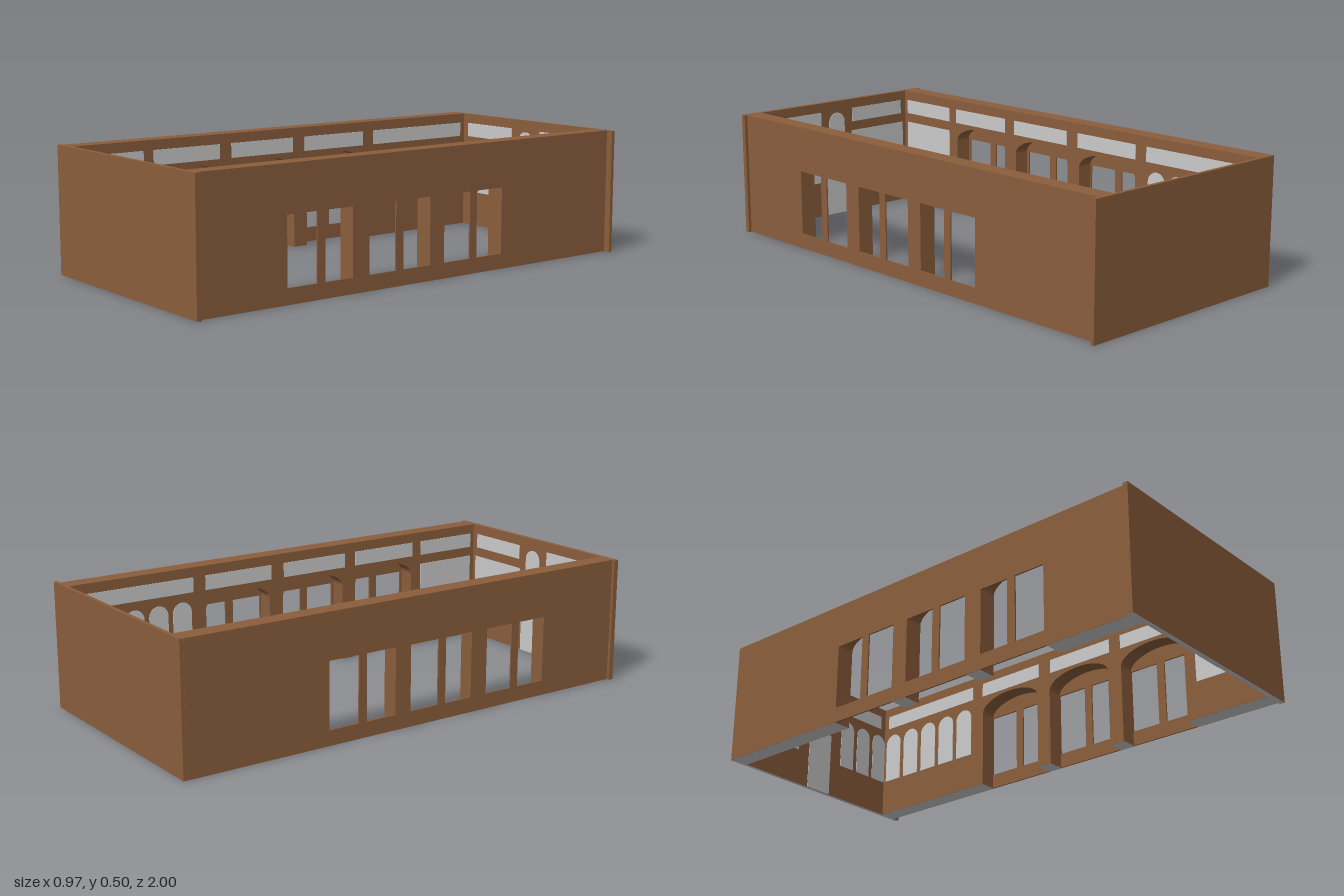
import * as THREE from 'three';

const brown = new THREE.MeshStandardMaterial({ color: 0x8b5e3c });
const grey = new THREE.MeshStandardMaterial({ color: 0xcccccc });

const H = 0.5;            // wall height
const CX = -0.007;        // centre line of the room
const X_IN = { left: -0.4, right: 0.386 };
const X_OUT = { left: -0.474, right: 0.46 };
const Z_BACK = -0.985, Z_FRONT = 0.98;
const SKIN = 0.006;       // thin window wall behind the niches
const NICHES = [[0.33, 0.63], [-0.035, 0.265], [-0.4, -0.1]];
const WINDOWS = [[0.49, 0.62], [0.33, 0.455], [0.13, 0.255], [-0.035, 0.095], [-0.235, -0.105], [-0.4, -0.27]];

function rect(u0, u1, v0, v1, Kind = THREE.Shape) {
  const s = new Kind();
  s.moveTo(u0, v0);
  s.lineTo(u1, v0);
  s.lineTo(u1, v1);
  s.lineTo(u0, v1);
  s.closePath();
  return s;
}

function roundTop(u0, u1, v0, v1) {
  const r = (u1 - u0) / 2, s = new THREE.Shape();
  s.moveTo(u0, v0);
  s.lineTo(u1, v0);
  s.lineTo(u1, v1 - r);
  s.absarc(u0 + r, v1 - r, r, 0, Math.PI, false);
  s.closePath();
  return s;
}

function extrude(shape, depth) {
  return new THREE.ExtrudeGeometry(shape, { depth, bevelEnabled: false, curveSegments: 12 });
}

function add(parent, name, geometry, material) {
  const mesh = new THREE.Mesh(geometry, material);
  mesh.name = name;
  parent.add(mesh);
  return mesh;
}

// extrudes a (z, y) outline between two x positions
function alongX(parent, name, shape, x0, x1, material) {
  const mesh = add(parent, name, extrude(shape, x1 - x0), material);
  mesh.rotation.y = -Math.PI / 2;
  mesh.position.x = x1;
}

// extrudes an (x, y) outline between two z positions
function alongZ(parent, name, shape, z0, z1, material) {
  add(parent, name, extrude(shape, z1 - z0), material).position.z = z0;
}

// thin grey underside
function base(parent, x0, x1, z0, z1) {
  const mesh = add(parent, 'wallBase', new THREE.PlaneGeometry(x1 - x0, z1 - z0), grey);
  mesh.rotation.x = Math.PI / 2;
  mesh.position.set((x0 + x1) / 2, -0.0005, (z0 + z1) / 2);
}

// inner layer of a long wall: arched niches cut up from the floor
function nicheShape() {
  const s = new THREE.Shape();
  s.moveTo(Z_BACK, 0);
  for (const [a, b] of [...NICHES].reverse()) {
    s.lineTo(a, 0);
    s.lineTo(a, 0.322);
    s.absellipse((a + b) / 2, 0.322, (b - a) / 2, 0.065, Math.PI, 0, true);
    s.lineTo(b, 0);
  }
  s.lineTo(Z_FRONT, 0);
  s.lineTo(Z_FRONT, H);
  s.lineTo(Z_BACK, H);
  s.closePath();
  return s;
}

function longWall(side) {
  const wall = new THREE.Group();
  wall.name = side + 'Wall';
  const dir = side === 'left' ? -1 : 1;
  const inner = X_IN[side], outer = X_OUT[side], mid = outer - dir * SKIN;
  const span = (a, b) => [Math.min(a, b), Math.max(a, b)];

  alongX(wall, 'nicheWall', nicheShape(), ...span(inner, mid), brown);
  const skin = rect(Z_BACK, Z_FRONT, 0, H);
  for (const [a, b] of WINDOWS) skin.holes.push(rect(a, b, 0.06, 0.32, THREE.Path));
  alongX(wall, 'windowWall', skin, ...span(mid, outer), brown);

  // undersides of the piers
  const cuts = [Z_BACK, ...[...NICHES].reverse().flat(), Z_FRONT];
  for (let i = 0; i < cuts.length; i += 2) base(wall, ...span(inner, outer), cuts[i], cuts[i + 1]);

  // inlaid panels on the room side
  const face = span(inner, inner - dir * 0.002);
  for (const [a, b] of [[0.68, 0.96], [0.33, 0.635], [-0.03, 0.275], [-0.4, -0.09], [-0.96, -0.455]])
    alongX(wall, 'friezePanel', rect(a, b, 0.4, 0.46), ...face, grey);
  alongX(wall, 'largePanel', rect(0.68, 0.96, 0.15, 0.36), ...face, grey);
  for (let i = 0; i < 5; i++) {
    const z = -0.508 - i * 0.105;
    alongX(wall, 'archedPanel', roundTop(z - 0.042, z + 0.042, 0.15, 0.365), ...face, grey);
  }
  return wall;
}

function endWall(name, x0, x1, z0, z1, arched) {
  const wall = new THREE.Group();
  wall.name = name;
  alongZ(wall, 'wallSlab', rect(x0, x1, 0, H), z0, z1, brown);
  base(wall, x0, x1, z0, z1);

  const face = z0 < 0 ? [z1, z1 + 0.002] : [z0 - 0.002, z0];
  alongZ(wall, 'door', rect(CX - 0.062, CX + 0.062, 0, 0.27), ...face, grey);
  alongZ(wall, 'middleArch', roundTop(CX - 0.042, CX + 0.042, 0.305, 0.45), ...face, grey);
  for (const s of [-1, 1]) {
    const both = (a, b) => (s < 0 ? [CX - b, CX - a] : [CX + a, CX + b]);
    alongZ(wall, 'friezePanel', rect(...both(0.085, 0.365), 0.4, 0.46), ...face, grey);
    if (arched) {
      for (const a of [0.122, 0.219, 0.316])
        alongZ(wall, 'archedPanel', roundTop(...both(a, a + 0.076), 0.15, 0.365), ...face, grey);
    } else {
      alongZ(wall, 'largePanel', rect(...both(0.08, 0.375), 0.15, 0.36), ...face, grey);
    }
  }
  return wall;
}

export function createModel() {
  const model = new THREE.Group();
  model.name = 'hall';
  model.add(longWall('left'), longWall('right'));
  // each end wall overshoots one corner
  model.add(endWall('backWall', -0.473, 0.487, -1, Z_BACK, true));
  model.add(endWall('frontWall', -0.487, 0.473, Z_FRONT, 1, false));
  // names follow the model's own sides
  model.getObjectByName('leftWall').name = 'wallOnRight';
  model.getObjectByName('rightWall').name = 'wallOnLeft';
  return model;
}
